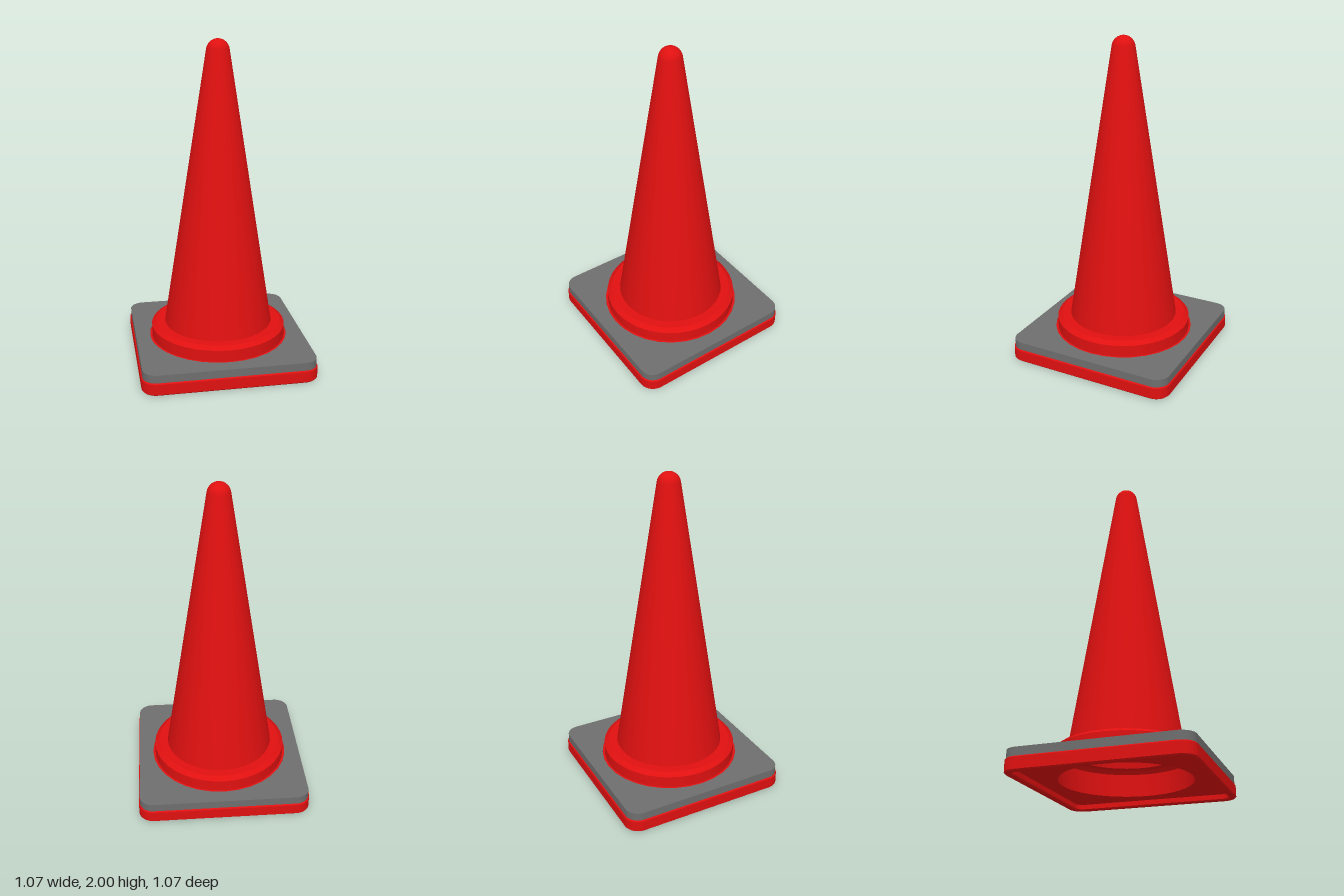
import * as THREE from 'three';
import { toCreasedNormals } from 'three/addons/utils/BufferGeometryUtils.js';

const red = new THREE.MeshStandardMaterial({ color: 0xe01010 });
red.name = 'cone red';
const grey = new THREE.MeshStandardMaterial({ color: 0x6e6e6e });
grey.name = 'rubber grey';

// Traces a square with rounded corners, half = half its side
function roundedSquare(path, half, r) {
  const c = half - r;
  path.moveTo(c, -half);
  [[c, -c], [c, c], [-c, c], [-c, -c]].forEach(([x, y], i) => {
    const a = (i - 1) * Math.PI / 2;
    path.absarc(x, y, r, a, a + Math.PI / 2, false);
  });
  path.closePath();
  return path;
}

const roundHole = (r) => new THREE.Path().absarc(0, 0, r, 0, Math.PI * 2, true);

// Horizontal slab between two heights, with an optional small bevel
function slab(name, shape, hole, y0, y1, bevel, material) {
  shape.holes.push(hole);
  const geometry = new THREE.ExtrudeGeometry(shape, {
    depth: y1 - y0 - 2 * bevel, curveSegments: 16,
    bevelEnabled: bevel > 0, bevelSize: bevel, bevelThickness: bevel, bevelSegments: 1,
  });
  geometry.rotateX(-Math.PI / 2);
  geometry.translate(0, y0 + bevel, 0);
  const mesh = new THREE.Mesh(toCreasedNormals(geometry, 0.5), material);
  mesh.name = name;
  return mesh;
}

export function createModel() {
  const group = new THREE.Group();
  group.name = 'trafficCone';

  // Base: raised rim around a recessed underside
  group.add(slab('baseRim', roundedSquare(new THREE.Shape(), 0.53, 0.085),
    roundedSquare(new THREE.Path(), 0.5, 0.055), 0, 0.08, 0.007, red));
  group.add(slab('baseFloor', roundedSquare(new THREE.Shape(), 0.505, 0.06),
    roundHole(0.44), 0.035, 0.079, 0, red));

  // Weight plate resting on the base
  group.add(slab('weightPlate', roundedSquare(new THREE.Shape(), 0.53, 0.085),
    roundHole(0.44), 0.08, 0.13, 0, grey));

  // Hollow cone: inner wall downwards, then collar and outer wall upwards
  const profile = [
    [0, 1.88], [0.05, 1.86], [0.315, 0.19], [0.37, 0.19], [0.39, 0.17], [0.39, 0.035],
    [0.44, 0.035], [0.44, 0.128], [0.425, 0.128], [0.425, 0.2], [0.395, 0.22], [0.34, 0.22],
  ].map(([r, y]) => new THREE.Vector2(r, y));

  // Rounded tip
  const start = 0.155, steps = 8;
  for (let i = 0; i <= steps; i++) {
    const a = start + (Math.PI / 2 - start) * i / steps;
    profile.push(new THREE.Vector2(i === steps ? 0 : 0.07 * Math.cos(a), 1.93 + 0.07 * Math.sin(a)));
  }
  const cone = new THREE.Mesh(toCreasedNormals(new THREE.LatheGeometry(profile, 40), 0.45), red);
  cone.name = 'coneBody';
  group.add(cone);

  return group;
}
